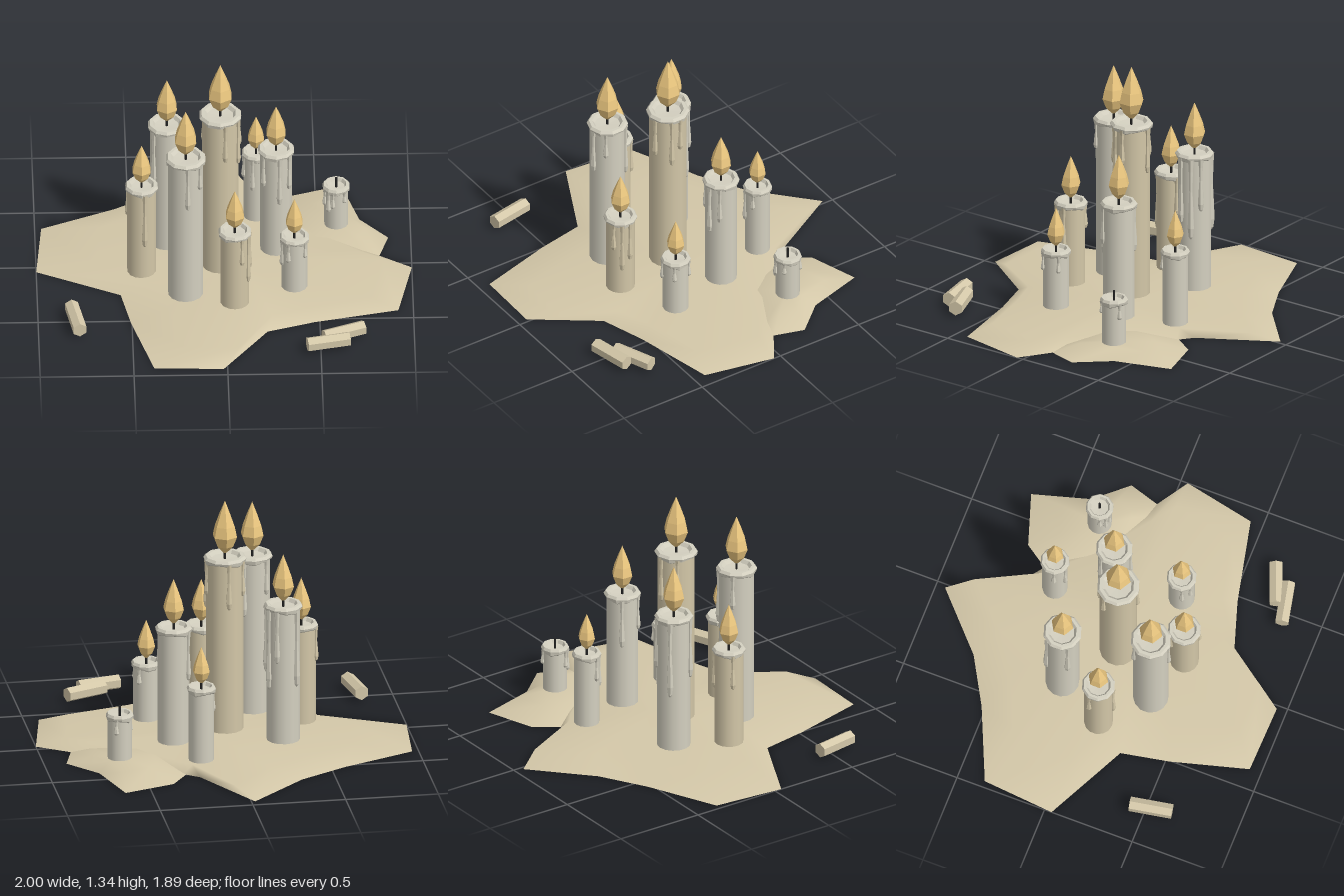
import * as THREE from 'three';

const tan = new THREE.MeshStandardMaterial({ color: 0xd3c7a8 });
const pale = new THREE.MeshStandardMaterial({ color: 0xd4d0c0 });
const tanFlat = new THREE.MeshStandardMaterial({ color: 0xd3c7a8, flatShading: true });
const paleFlat = new THREE.MeshStandardMaterial({ color: 0xd4d0c0, flatShading: true });
const flameMat = new THREE.MeshStandardMaterial({ color: 0xecc880, flatShading: true });
const wickMat = new THREE.MeshStandardMaterial({ color: 0x222222 });

const FLOOR = 0.045;

function add(parent, name, geometry, material, x = 0, y = 0, z = 0) {
  const mesh = new THREE.Mesh(geometry, material);
  mesh.name = name;
  mesh.position.set(x, y, z);
  parent.add(mesh);
  return mesh;
}

const lathe = (points, sides) =>
  new THREE.LatheGeometry(points.map(([r, y]) => new THREE.Vector2(r, y)), sides);

// Wax puddle: outline on the ground, a raised inner ring, a centre and a flat underside
function puddleGeometry(outline, [cx, cz], [sx, sz], [dx, dz], height) {
  const n = outline.length;
  const pos = [];
  const index = [];
  for (const [x, z] of outline) pos.push(x, 0, z);
  for (const [x, z] of outline) {
    pos.push(cx + dx + (x - cx) * sx, height, cz + dz + (z - cz) * sz);
  }
  pos.push(cx + dx, height + 0.003, cz + dz);
  for (const [x, z] of outline) pos.push(x, 0, z);
  pos.push(cx, 0, cz);
  const centre = 2 * n;
  const under = 2 * n + 1;
  for (let i = 0; i < n; i++) {
    const j = (i + 1) % n;
    index.push(i, n + j, n + i, i, j, n + j);
    index.push(n + i, n + j, centre);
    index.push(under + j, under + i, under + n);
  }
  const g = new THREE.BufferGeometry();
  g.setAttribute('position', new THREE.Float32BufferAttribute(pos, 3));
  g.setIndex(index);
  g.computeVertexNormals();
  return g;
}

// Outlines as [x, z], running counter-clockwise seen from above
const mainOutline = [
  [-0.02, -0.95], [-0.32, -0.67], [-0.575, -0.525], [-0.965, -0.355], [-1, 0.04],
  [-0.555, 0.26], [-0.505, 0.52], [-0.39, 0.935], [-0.02, 0.945], [0.22, 0.61],
  [0.47, 0.53], [0.92, 0.43], [1, 0.04], [0.83, -0.07], [0.45, -0.33],
  [0.29, -0.49], [0.21, -0.55],
];
const sideOutline = [
  [0.64, -0.715], [0.365, -0.625], [0.28, -0.5], [0.27, -0.3], [0.42, -0.1],
  [0.77, -0.035], [0.83, -0.07], [0.88, -0.235], [0.73, -0.405],
];

// One candle: body, overhanging rim with a hollow, drips, wick and flame
function candle({ x, z, r, top, flame, drips, warm }) {
  const g = new THREE.Group();
  g.name = 'candle';
  g.position.set(x, 0, z);
  const smooth = warm ? tan : pale;
  const flat = warm ? tanFlat : paleFlat;

  const h = top - 0.02 - FLOOR + 0.01;
  add(g, 'candleBody', new THREE.CylinderGeometry(r, r, h, 14, 1, true), smooth, 0, FLOOR - 0.01 + h / 2, 0);

  const rim = lathe([
    [0.96, -0.04], [1.12, -0.03], [1.16, -0.014], [1.04, 0],
    [0.86, 0], [0.72, -0.018], [0, -0.022],
  ].map(([k, y]) => [k * r, y]), 10);
  // Let the lower edge of the rim sag unevenly
  const p = rim.attributes.position;
  for (let i = 0; i < p.count; i++) {
    if (p.getY(i) < -0.025) {
      const a = Math.atan2(p.getX(i), p.getZ(i));
      p.setY(i, p.getY(i) + 0.007 * Math.sin(3 * a + x * 20));
    }
  }
  add(g, 'waxRim', rim, paleFlat, 0, top, 0);

  for (const [angle, length] of drips) {
    const w = 0.012 + 0.03 * r + 0.01 * length;
    const geo = lathe([
      [0, -1], [0.65, -0.96], [1, -0.85], [0.8, -0.65], [0.5, -0.4], [0.65, -0.15], [0.9, 0],
    ].map(([k, y]) => [k * w, y * length]), 6);
    add(g, 'waxDrip', geo, flat, Math.sin(angle) * r, top - 0.02, Math.cos(angle) * r);
  }

  add(g, 'wick', new THREE.CylinderGeometry(0.007, 0.007, 0.06, 6), wickMat, 0, top + 0.008, 0);

  if (flame) {
    const s = flame;
    add(g, 'flame', lathe([
      [0, 0], [0.04, 0.003], [0.16, 0.13], [0.235, 0.32], [0.19, 0.52], [0.1, 0.76], [0, 1],
    ].map(([k, y]) => [k * s, y * s]), 6), flameMat, 0, top + 0.015, 0);
  }
  return g;
}

const candles = [
  { x: -0.02, z: 0.04, r: 0.1, top: 1.03, flame: 0.295, warm: true, drips: [[0.25, 0.24], [1.2, 0.29], [1.7, 0.2], [3.2, 0.26], [-2.1, 0.2]] },
  { x: -0.21, z: 0.3, r: 0.095, top: 0.935, flame: 0.275, drips: [[0.1, 0.27], [0.9, 0.16], [2.5, 0.32], [-2.4, 0.2]] },
  { x: -0.3, z: -0.17, r: 0.09, top: 0.82, flame: 0.26, drips: [[1.3, 0.38], [2, 0.46], [2.6, 0.3], [-0.9, 0.35], [-2.4, 0.44]] },
  { x: -0.44, z: 0.09, r: 0.078, top: 0.605, flame: 0.235, warm: true, drips: [[0.2, 0.34], [-1.9, 0.2], [2.6, 0.22]] },
  { x: 0.28, z: -0.1, r: 0.086, top: 0.7, flame: 0.25, drips: [[0.2, 0.3], [0.9, 0.22], [-2.2, 0.28], [-0.9, 0.2]] },
  { x: 0.05, z: 0.39, r: 0.078, top: 0.515, flame: 0.235, warm: true, drips: [[0.5, 0.17], [1.1, 0.3], [1.7, 0.24], [-2.3, 0.15]] },
  { x: 0.37, z: 0.25, r: 0.07, top: 0.375, flame: 0.215, drips: [[-0.5, 0.12], [0.9, 0.1], [-1.2, 0.16], [2.4, 0.1]] },
  { x: 0.18, z: -0.4, r: 0.068, top: 0.465, flame: 0.205, drips: [[-0.3, 0.2], [-1.3, 0.14], [0.6, 0.1]] },
  { x: 0.605, z: -0.31, r: 0.065, top: 0.305, flame: 0, drips: [[-0.3, 0.1], [-0.7, 0.13], [-1.2, 0.1], [0.7, 0.07], [2.7, 0.09]] },
];

// Loose sticks as [x, z, heading]
const sticks = [[-0.8, 0.53, 0.18], [0.625, 0.69, 1.95], [0.54, 0.775, 1.785]];

export function createModel() {
  const model = new THREE.Group();
  model.name = 'candleCluster';

  add(model, 'mainWaxPuddle',
    puddleGeometry(mainOutline, [0, 0], [0.76, 0.86], [0.08, 0], FLOOR), tan);
  add(model, 'sideWaxPuddle',
    puddleGeometry(sideOutline, [0.6, -0.31], [0.55, 0.55], [0, 0], FLOOR + 0.003), tan);

  for (const c of candles) model.add(candle(c));

  for (const [x, z, heading] of sticks) {
    const geo = new THREE.CylinderGeometry(0.04, 0.04, 0.23, 6).rotateX(Math.PI / 2);
    add(model, 'looseStick', geo, tanFlat, x, 0.048, z).rotation.y = heading;
  }
  return model;
}
